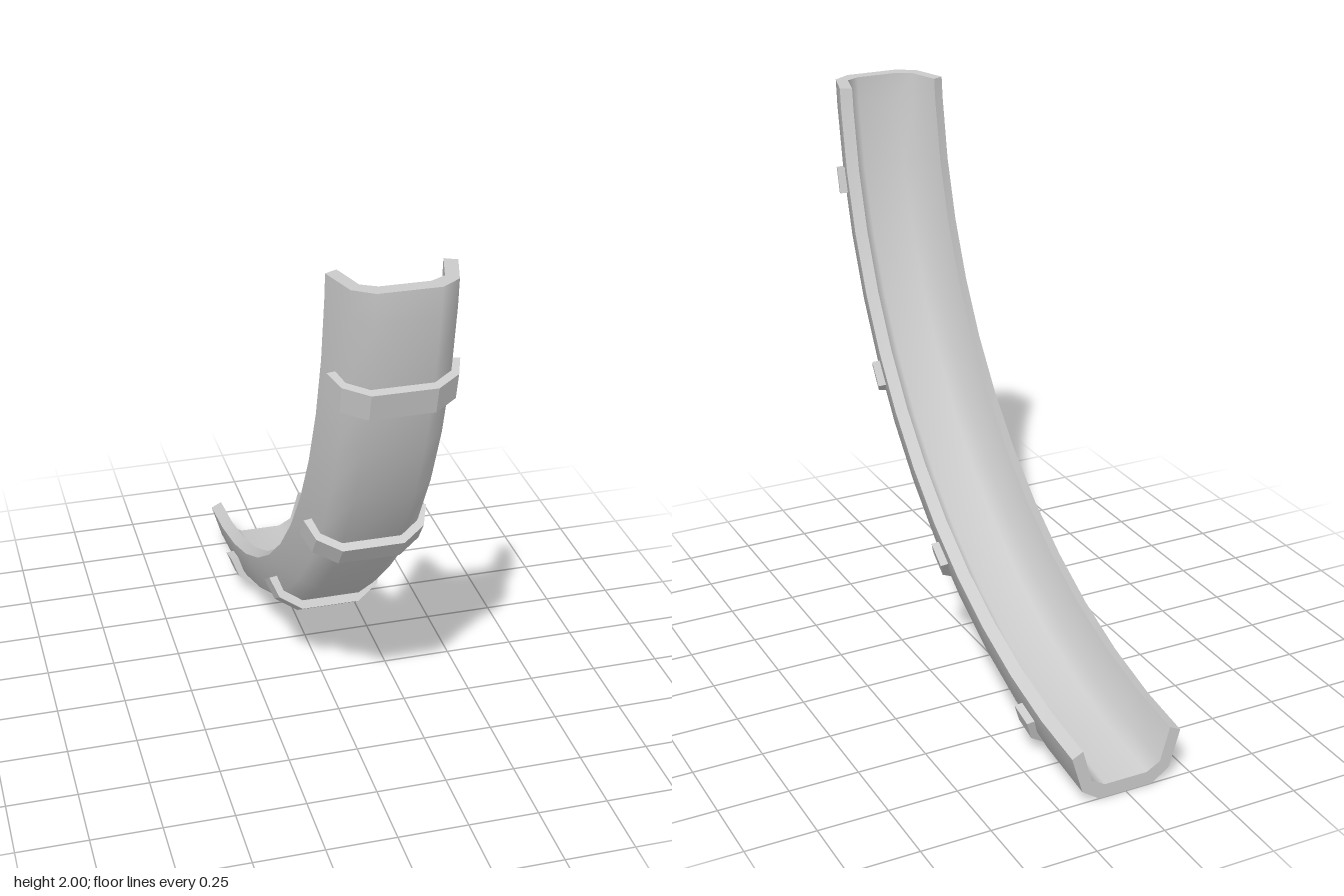
import * as THREE from 'three';
import { mergeGeometries } from 'three/addons/utils/BufferGeometryUtils.js';

const CENTRE = { y: 2.14, z: -1.14 }; // centre of the bend
const R = 2.14; // outer radius of the channel
const RAD = Math.PI / 180;

// Mirrors a half profile [x, depth] into a full one running from -x to +x
const mirror = (half) => [
  ...half.map(([x, d]) => [-x, d]).reverse(),
  ...half,
];

// Surface through rows of points; faces point along (column x row) direction
function skin(rows) {
  const n = rows[0].length;
  const index = [];
  for (let i = 0; i < rows.length - 1; i++) {
    for (let j = 0; j < n - 1; j++) {
      const a = i * n + j, b = a + 1, c = a + n, d = c + 1;
      index.push(a, b, d, a, d, c);
    }
  }
  const g = new THREE.BufferGeometry().setFromPoints(rows.flat());
  g.setIndex(index);
  g.computeVertexNormals();
  return g;
}

// Curved U-shaped channel, cut flat at the top (y = 2) and at the back (z = -1)
function channelGeometry() {
  const outer = mirror([[0.1, 0], [0.165, 0.045], [0.205, 0.18]]);
  const inner = mirror([[0.08, 0.05], [0.13, 0.078], [0.165, 0.2]]);
  const STEPS = 13;

  const ring = (profile, k) => profile.map(([x, depth]) => {
    const r = R - depth;
    let a = (6.4 + 6.65 * (k - 1)) * RAD;
    if (k === 0) a = Math.asin(0.14 / r);
    if (k === STEPS) a = Math.acos(0.14 / r);
    return new THREE.Vector3(x, CENTRE.y - r * Math.sin(a), CENTRE.z + r * Math.cos(a));
  });

  const outs = [], ins = [];
  for (let k = 0; k <= STEPS; k++) {
    outs.push(ring(outer, k));
    ins.push(ring(inner, k));
  }
  const last = outer.length - 1;
  return mergeGeometries([
    skin(outs.map((r) => [...r].reverse())), // outside
    skin(ins), // inside
    skin(outs.map((r, k) => [r[0], ins[k][0]])), // right rim
    skin(outs.map((r, k) => [ins[k][last], r[last]])), // left rim
    skin([outs[0], ins[0]]), // top end
    skin([ins[STEPS], outs[STEPS]]), // back end
  ]);
}

// Angular bracket that hugs the outside of the channel
function bracketGeometry() {
  const outer = mirror([[0.105, -0.028], [0.183, 0.025], [0.21, 0.1]]);
  const inner = mirror([[0.09, 0.012], [0.155, 0.055], [0.172, 0.105]]);
  const outline = [...outer, ...inner.reverse()];
  const shape = new THREE.Shape(outline.map(([x, d]) => new THREE.Vector2(x, R - d)));
  const width = 0.095;
  const g = new THREE.ExtrudeGeometry(shape, { depth: width, bevelEnabled: false });
  return g.translate(0, 0, -width / 2);
}

export function createModel() {
  const model = new THREE.Group();
  model.name = 'curvedChannel';
  const material = new THREE.MeshStandardMaterial({ color: 0xcccccc });

  const channel = new THREE.Mesh(channelGeometry(), material);
  channel.name = 'channel';
  model.add(channel);

  // Four brackets spaced evenly along the bend
  const bracket = bracketGeometry();
  for (let i = 0; i < 4; i++) {
    const mesh = new THREE.Mesh(bracket, material);
    mesh.name = `bracket${i + 1}`;
    mesh.position.set(0, CENTRE.y, CENTRE.z);
    mesh.rotation.x = (14 + 20.67 * i + 90) * RAD;
    model.add(mesh);
  }
  return model;
}
